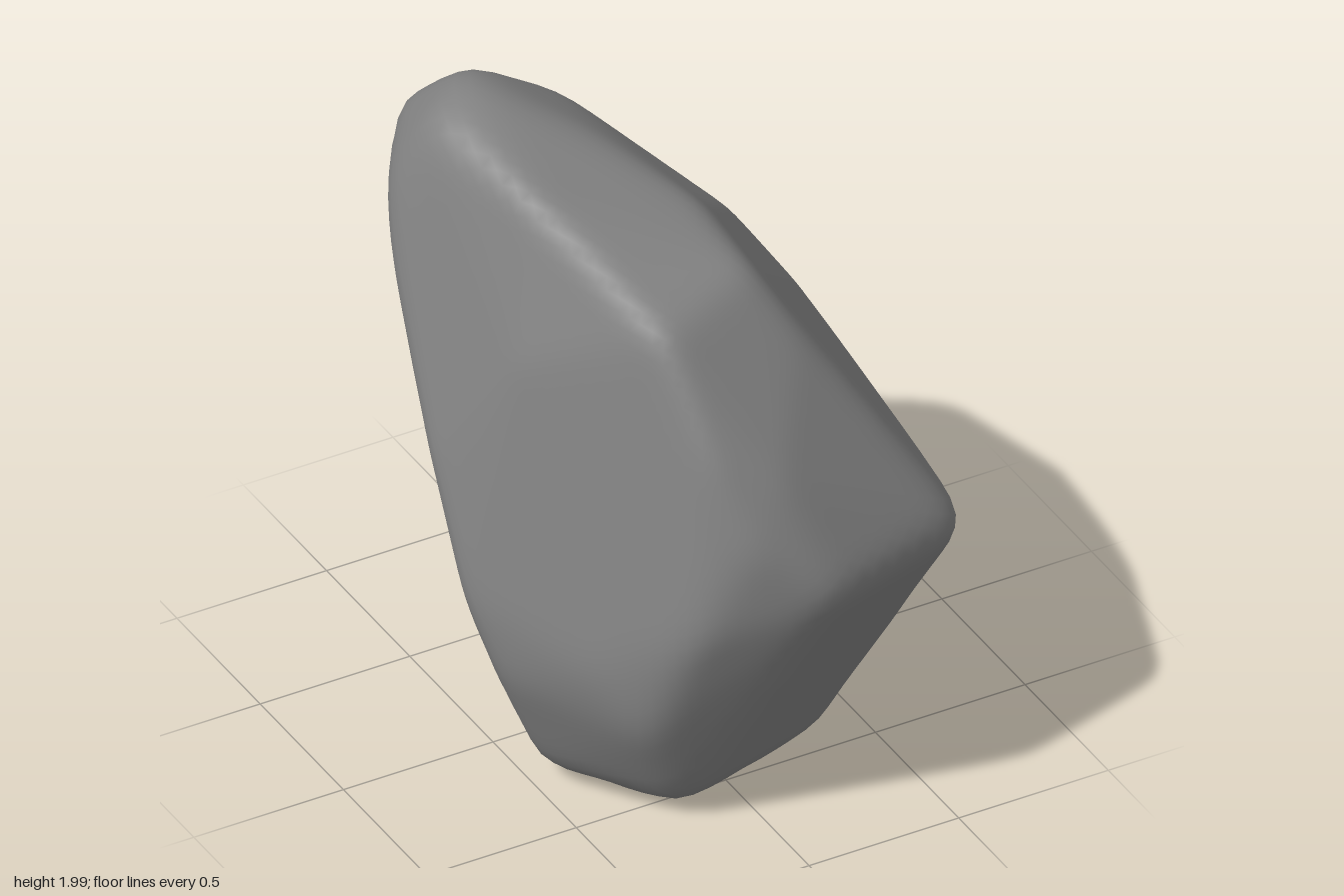
import * as THREE from 'three';
import { mergeVertices } from 'three/addons/utils/BufferGeometryUtils.js';
import { ConvexGeometry } from 'three/addons/geometries/ConvexGeometry.js';

// Corners of the stone's facets, set out a little to allow for wear
const CORNERS = [
  // peak and the broad crest running forward from it
  [-.31, 2, -.45], [-.48, 1.95, -.4], [-.38, 1.88, -.03], [-.31, 1.8, .15], [-.21, 1.62, .5],
  [-.17, 1.33, .69], [.03, 1.2, .79], [-.1, 1.05, .84], [.13, .87, .94],
  // edge of the crest, bending down to the front corner
  [-.02, 1.86, -.17], [.13, 1.76, .12], [.15, 1.69, .38], [.23, 1.5, .51], [.45, 1.18, .62], [.65, .87, .78],
  // side crease
  [.67, .93, .3], [.55, 1.23, -.08], [.4, 1.46, -.2], [.48, 1.1, -.44], [.25, 1.42, -.67],
  // back
  [-.25, 1.96, -.6], [.04, 1.77, -.6], [-.37, 1.75, -.8], [-.2, 1.51, -.93], [-.12, 1.22, -.93],
  [.08, 1.35, -.87], [.33, 1.02, -.7], [.36, .48, -.65], [.46, .4, -.5], [0, .5, -.74],
  // flat flank
  [-.5, 1.7, -.63], [-.57, 1.68, -.5], [-.61, 1.5, -.42], [-.49, 1.4, .13], [-.66, 1, -.08],
  [-.67, .65, .12], [-.61, .42, .24],
  // front face beside the flank
  [-.47, .55, .52], [-.27, .74, .78], [-.36, .38, .67],
  // base
  [-.47, .05, .23], [-.21, .03, .6], [.34, .04, .44], [.2, 0, .4], [.53, .5, .3],
  [.46, .3, 0], [.3, .06, -.37], [.24, .15, -.52], [0, .12, -.5],
].map((c) => new THREE.Vector3(c[0], c[1] - 1, c[2]).multiplyScalar(1.015));

// Planes of the facets
function facetPlanes() {
  const p = new ConvexGeometry(CORNERS).attributes.position;
  const planes = [];
  for (let i = 0; i < p.count; i += 3) {
    const [a, b, c] = [0, 1, 2].map((k) => new THREE.Vector3().fromBufferAttribute(p, i + k));
    planes.push(new THREE.Plane().setFromCoplanarPoints(a, b, c));
  }
  return planes;
}

// Move every vertex towards (or, with a negative step, away from) the mean of its neighbours
function wear(geometry, steps) {
  const pos = geometry.attributes.position;
  const idx = geometry.index.array;
  const near = Array.from({ length: pos.count }, () => new Set());
  for (let i = 0; i < idx.length; i += 3) {
    for (let k = 0; k < 3; k++) {
      near[idx[i + k]].add(idx[i + (k + 1) % 3]).add(idx[i + (k + 2) % 3]);
    }
  }
  const v = new THREE.Vector3();
  for (const step of steps) {
    const moved = near.map((set, i) => {
      const mean = new THREE.Vector3();
      for (const j of set) mean.add(v.fromBufferAttribute(pos, j));
      mean.divideScalar(set.size);
      return new THREE.Vector3().fromBufferAttribute(pos, i).lerp(mean, step);
    });
    moved.forEach((m, i) => pos.setXYZ(i, m.x, m.y, m.z));
  }
}

export function createModel() {
  // Push a fine sphere out to the facets
  const ball = new THREE.IcosahedronGeometry(1, 24);
  ball.deleteAttribute('normal');
  ball.deleteAttribute('uv');
  const geometry = mergeVertices(ball, 1e-4);
  const pos = geometry.attributes.position;
  const planes = facetPlanes();
  const u = new THREE.Vector3();
  for (let i = 0; i < pos.count; i++) {
    u.fromBufferAttribute(pos, i).normalize();
    let r = Infinity;
    for (const { normal, constant } of planes) {
      const d = normal.dot(u);
      if (d > 1e-4) r = Math.min(r, -constant / d);
    }
    u.multiplyScalar(r);
    pos.setXYZ(i, u.x, u.y, u.z);
  }

  // Round the edges while keeping the bulk
  wear(geometry, [.6, .6, -.4, .6, .6, -.4]);
  geometry.translate(0, 1, 0);
  geometry.computeVertexNormals();

  const stone = new THREE.Mesh(geometry, new THREE.MeshStandardMaterial({ color: 0x828282 }));
  stone.name = 'stone';
  const group = new THREE.Group();
  group.name = 'boulder';
  group.add(stone);
  return group;
}
